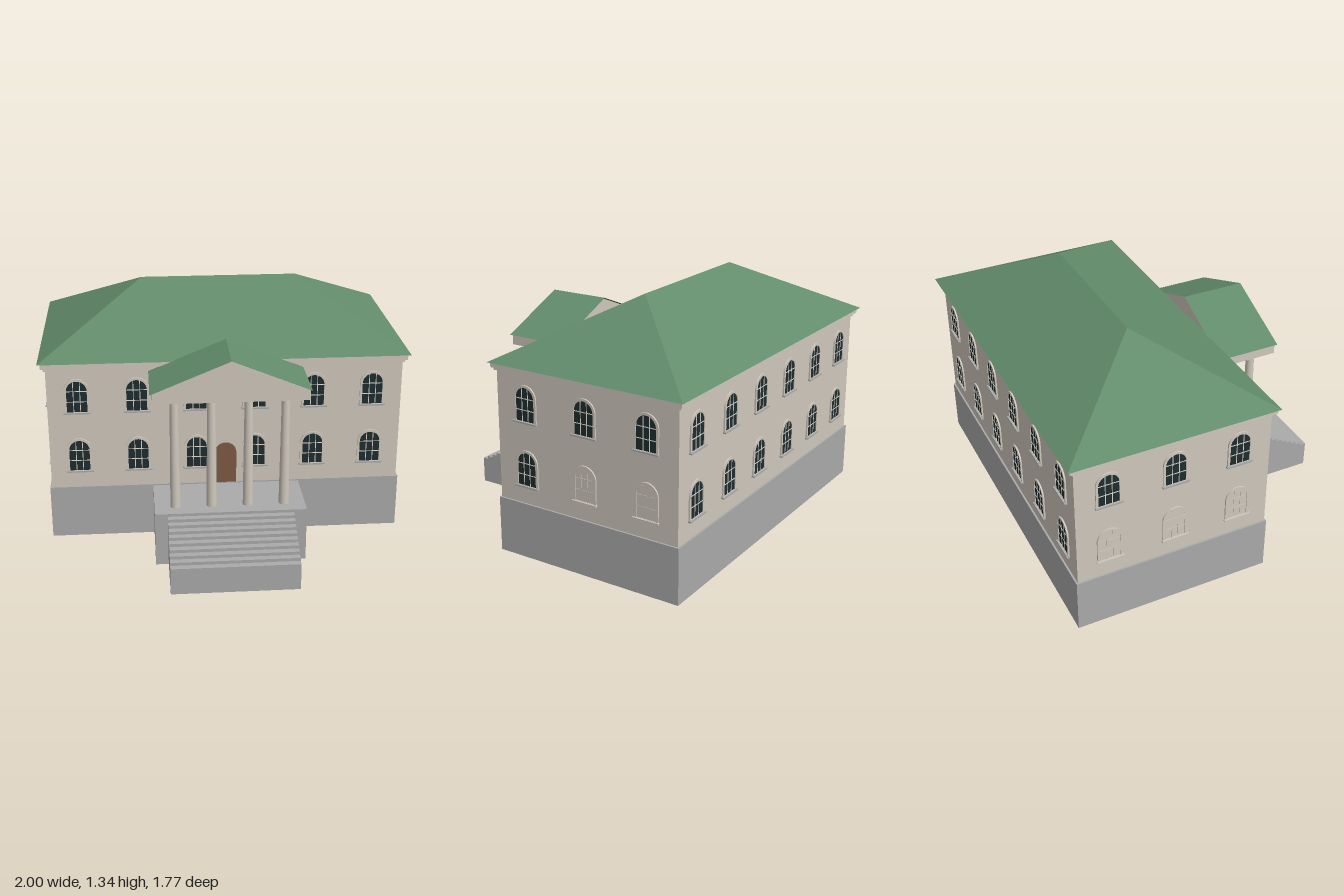
import * as THREE from 'three';

const mat = (name, color, side = THREE.FrontSide) => {
  const m = new THREE.MeshStandardMaterial({ color, side });
  m.name = name;
  return m;
};

export function createModel() {
  const house = new THREE.Group();
  house.name = 'house';
  const wall = mat('cream wall', 0xcfc8bd);
  const stone = mat('grey stone', 0xaaaaaa, THREE.DoubleSide);
  const green = mat('green roof', 0x628c6b, THREE.DoubleSide);
  const glass = mat('dark glass', 0x1e2c2e);
  const bars = mat('pale glazing bar', 0xddd8cf);
  const wood = mat('brown wood', 0x7d5b43);

  const add = (name, geometry, material, parent = house) => {
    const mesh = new THREE.Mesh(geometry, material);
    mesh.name = name;
    parent.add(mesh);
    return mesh;
  };
  // box given by its limits on each axis
  const block = (name, x0, x1, y0, y1, z0, z1, material, parent) => {
    const g = new THREE.BoxGeometry(x1 - x0, y1 - y0, z1 - z0);
    g.translate((x0 + x1) / 2, (y0 + y1) / 2, (z0 + z1) / 2);
    return add(name, g, material, parent);
  };
  // flat-shaded surface from corner points and triangles
  const facets = (points, tris) => {
    const g = new THREE.BufferGeometry();
    g.setAttribute('position', new THREE.Float32BufferAttribute(tris.flat().flatMap(i => points[i]), 3));
    g.computeVertexNormals();
    return g;
  };
  // round-headed outline standing on y0, with the arch springing at spring
  const archPath = (Type, r, y0, spring) => {
    const p = new Type();
    p.moveTo(-r, y0);
    p.lineTo(r, y0);
    p.lineTo(r, spring);
    p.absarc(0, spring, r, 0, Math.PI, false);
    p.lineTo(-r, y0);
    return p;
  };
  const plate = (shape, depth) =>
    new THREE.ExtrudeGeometry(shape, { depth, bevelEnabled: false, curveSegments: 12 });

  // plinth and porch floor are hollow, without an underside
  const hollow = (...args) => {
    const g = block(...args, stone).geometry;
    const index = Array.from(g.index.array);
    index.splice(18, 6);
    g.setIndex(index);
    g.clearGroups();
  };
  hollow('plinth', -0.97, 0.97, 0, 0.3, -0.855, 0.222);
  hollow('porchFloor', -0.403, 0.403, 0, 0.3, 0.235, 0.58);

  // front steps
  const count = 9, zFront = 0.885, zBack = 0.58, run = (zFront - zBack) / count;
  const stair = new THREE.Shape();
  stair.moveTo(zBack, 0);
  stair.lineTo(zFront, 0);
  for (let i = 0; i < count; i++) {
    const y = 0.147 + i * 0.0172;
    stair.lineTo(zFront - i * run, y);
    stair.lineTo(zFront - (i + 1) * run, y);
  }
  const stairs = plate(stair, 0.67);
  stairs.rotateY(-Math.PI / 2);
  stairs.translate(0.335, 0, 0);
  add('frontSteps', stairs, stone);

  // main body and cornice
  block('walls', -0.96, 0.96, 0.3, 1.0, -0.845, 0.215, wall);
  block('lowerCornice', -0.97, 0.97, 0.985, 1.0, -0.857, 0.227, wall);
  block('upperCornice', -0.983, 0.983, 1.0, 1.028, -0.87, 0.236, wall);

  // hipped main roof
  add('mainRoof', facets(
    [[-1, 1.028, 0.245], [1, 1.028, 0.245], [1, 1.028, -0.885], [-1, 1.028, -0.885],
      [-0.435, 1.335, -0.32], [0.435, 1.335, -0.32]],
    [[0, 1, 5], [0, 5, 4], [1, 2, 5], [2, 3, 4], [2, 4, 5], [3, 0, 4], [0, 3, 2], [0, 2, 1]]), green);

  // arched windows
  const glassShape = archPath(THREE.Shape, 0.055, 0, 0.122);
  const frameShape = archPath(THREE.Shape, 0.068, 0, 0.122);
  frameShape.holes.push(archPath(THREE.Path, 0.055, 0.001, 0.122));
  const glassGeometry = plate(glassShape, 0.004);
  const frameGeometry = plate(frameShape, 0.008);
  const addWindow = (x, y, z, turn, blind) => {
    const g = new THREE.Group();
    g.name = blind ? 'blindWindow' : 'window';
    add('pane', glassGeometry, blind ? wall : glass, g);
    add('frame', frameGeometry, wall, g);
    const bar = blind ? wall : bars;
    for (const s of [-1, 1]) {
      block('uprightBar', s * 0.018 - 0.002, s * 0.018 + 0.002, 0, 0.172, 0, 0.006, bar, g);
    }
    for (const h of [0.06, 0.12]) block('crossBar', -0.055, 0.055, h - 0.002, h + 0.002, 0, 0.006, bar, g);
    block('sill', -0.073, 0.073, -0.008, 0, 0, 0.016, blind ? wall : stone, g);
    g.position.set(x, y, z);
    g.rotation.y = turn;
    house.add(g);
  };
  const floors = [0.4, 0.745];
  floors.forEach((y, floor) => {
    for (const x of [-0.8, -0.48, -0.16, 0.16, 0.48, 0.8]) {
      addWindow(x, y, 0.215, 0, false);
      addWindow(x, y, -0.845, Math.PI, false);
    }
    [0.04, -0.315, -0.67].forEach((z, i) => {
      addWindow(0.96, y, z, Math.PI / 2, floor === 0 && i > 0);
      addWindow(-0.96, y, z, -Math.PI / 2, floor === 0);
    });
  });

  // front door
  add('door', plate(archPath(THREE.Shape, 0.058, 0.3, 0.48), 0.008), wood).position.z = 0.215;

  // porch columns
  for (const x of [-0.29, -0.097, 0.097, 0.29]) {
    add('column', new THREE.CylinderGeometry(0.022, 0.028, 0.62, 24), wall).position.set(x, 0.61, 0.49);
  }

  // porch beam, gable and roof
  block('porchBeam', -0.405, 0.405, 0.92, 0.975, 0.245, 0.568, wall);
  const gable = new THREE.Shape([[-0.405, 0.975], [0.405, 0.975], [0, 1.14]].map(p => new THREE.Vector2(...p)));
  add('porchGable', plate(gable, 0.323), wall).position.z = 0.245;
  add('porchRoof', facets(
    [[-0.415, 0.975, 0.58], [0, 1.145, 0.58], [0.415, 0.975, 0.58],
      [-0.415, 0.975, 0.23], [0, 1.145, 0.23], [0.415, 0.975, 0.23]],
    [[0, 1, 4], [0, 4, 3], [1, 2, 5], [1, 5, 4]]), green);

  return house;
}
